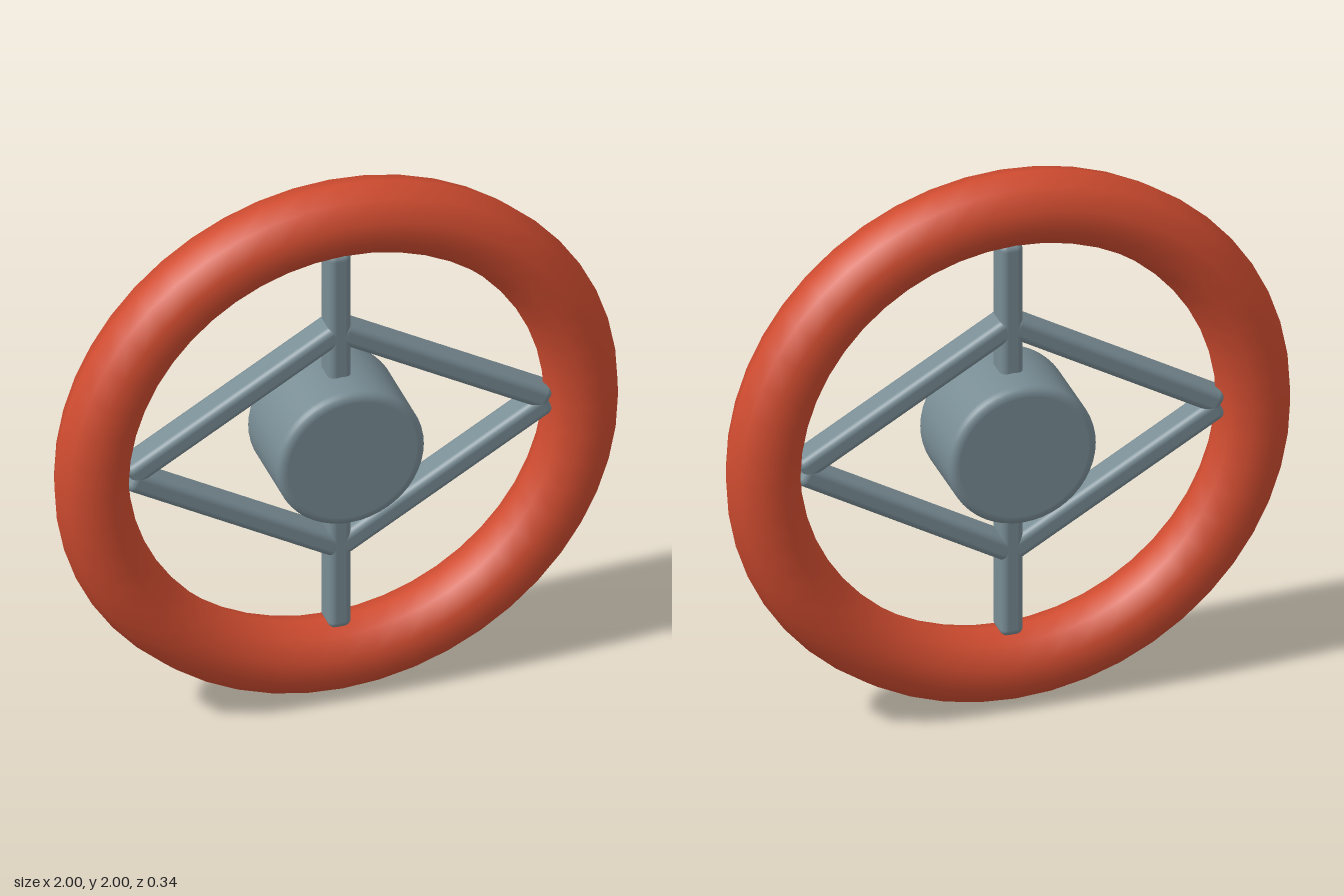
import * as THREE from 'three';
import { RoundedBoxGeometry } from 'three/addons/geometries/RoundedBoxGeometry.js';

export function createModel() {
  const red = new THREE.MeshStandardMaterial({ color: 0xd04c30 });
  red.name = 'red grip';
  const grey = new THREE.MeshStandardMaterial({ color: 0x788c94 });
  grey.name = 'blue grey metal';

  const model = new THREE.Group();
  model.name = 'handwheel';
  const add = (name, geometry, material, x = 0, y = 1) => {
    const mesh = new THREE.Mesh(geometry, material);
    mesh.name = name;
    mesh.position.set(x, y, 0);
    model.add(mesh);
    return mesh;
  };

  // Outer rim: ten-sided tube
  add('rim', new THREE.TorusGeometry(0.868, 0.131, 10, 48), red);

  // Hub: drum with rounded edges, lying along z
  const R = 0.262, H = 0.17, B = 0.03;
  const profile = [new THREE.Vector2(0, -H), new THREE.Vector2(R - B - 0.004, -H)];
  for (const side of [-1, 1]) {
    for (let i = 0; i <= 5; i++) {
      const a = (side < 0 ? i - 5 : i) * Math.PI / 10;
      profile.push(new THREE.Vector2(R - B + B * Math.cos(a), side * (H - B) + B * Math.sin(a)));
    }
    if (side < 0) profile.push(new THREE.Vector2(R, -H + B + 0.004), new THREE.Vector2(R, H - B - 0.004));
  }
  profile.push(new THREE.Vector2(R - B - 0.004, H), new THREE.Vector2(0, H));
  add('hub', new THREE.LatheGeometry(profile, 48), grey).rotation.x = Math.PI / 2;

  // Upright spoke running through the hub
  add('uprightSpoke', new RoundedBoxGeometry(0.08, 1.5, 0.11, 4, 0.025), grey);

  // Four braces forming a diamond
  const brace = new RoundedBoxGeometry(0.857, 0.08, 0.11, 4, 0.025);
  for (const sx of [-1, 1]) {
    for (const sy of [-1, 1]) {
      const name = (sy > 0 ? 'upper' : 'lower') + (sx > 0 ? 'Left' : 'Right') + 'Brace';
      add(name, brace, grey, sx * 0.371, 1 + sy * 0.218).rotation.z = -sx * sy * Math.PI / 6;
    }
  }
  return model;
}
